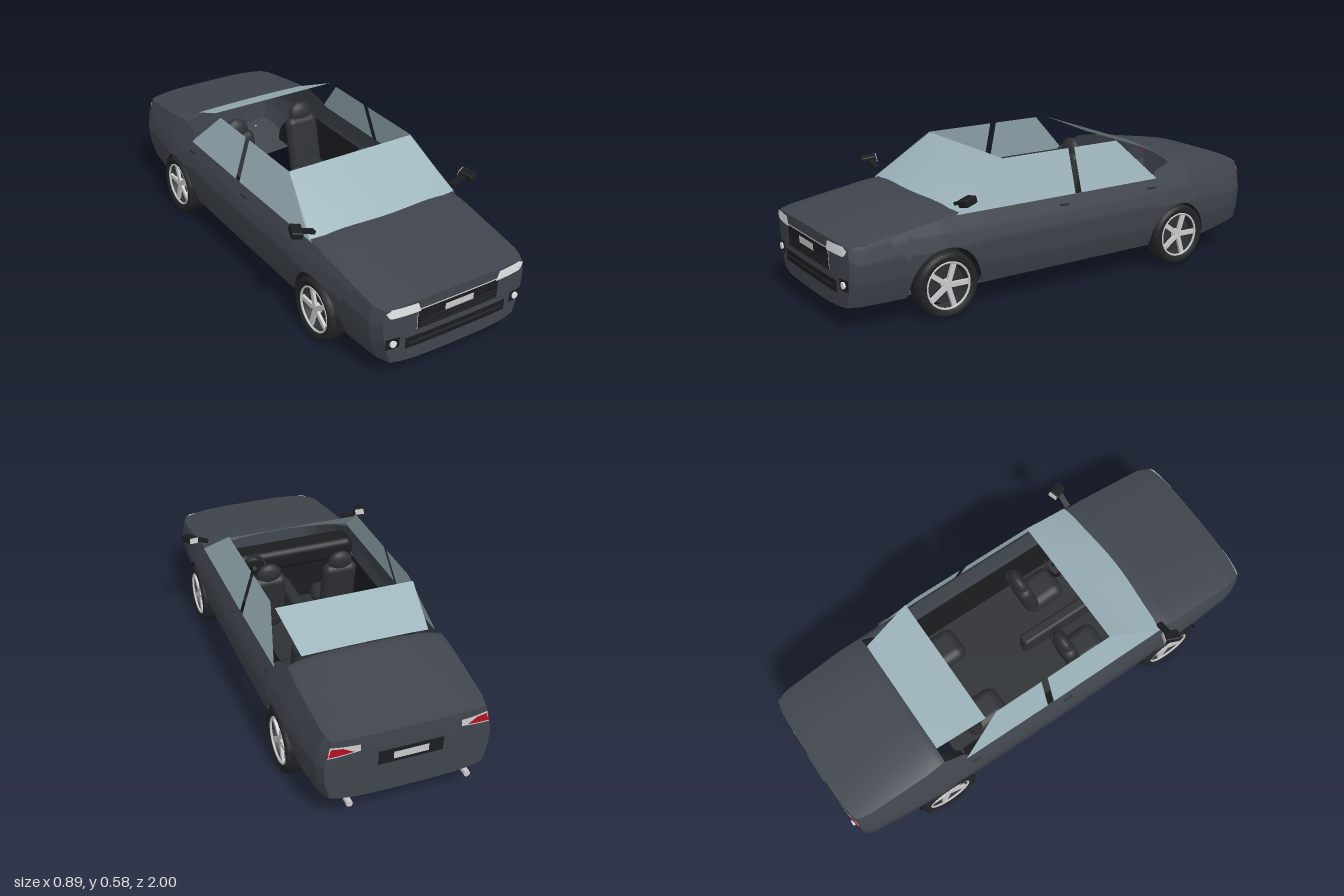
import * as THREE from 'three';
import { ParametricGeometry } from 'three/addons/geometries/ParametricGeometry.js';
import { RoundedBoxGeometry } from 'three/addons/geometries/RoundedBoxGeometry.js';

const mat = (color) => new THREE.MeshStandardMaterial({ color, side: THREE.DoubleSide });
const paint = mat(0x40454d), glass = mat(0x9db4bb), black = mat(0x1b1d20), rubber = mat(0x222426);
const trim = mat(0x2e3135), chrome = mat(0xcccccc), red = mat(0xb01020), white = mat(0xe6e8ea);

// Linear interpolation in a list of [position, value] pairs
const table = (pts) => (s) => {
  if (s <= pts[0][0]) return pts[0][1];
  for (let i = 1; i < pts.length; i++) {
    const [a, va] = pts[i - 1], [b, vb] = pts[i];
    if (s <= b) return va + (vb - va) * (s - a) / (b - a);
  }
  return pts[pts.length - 1][1];
};
const mix = THREE.MathUtils.lerp;

// Body rules: half width along z, section by height, upper and lower edge of the flank
const END = 0.975, WHEEL_Y = 0.137, AXLES = [{ z: 0.585, arch: 0.15 }, { z: -0.585, arch: 0.141 }];
const width = table([[-0.975, 0.335], [-0.93, 0.355], [-0.65, 0.382], [0, 0.385], [0.6, 0.38], [0.92, 0.355], [0.975, 0.33]]);
const section = table([[0.08, 0.87], [0.13, 0.92], [0.2, 0.975], [0.28, 1], [0.34, 0.965], [0.4, 0.905], [0.46, 0.84]]);
const topEdge = table([[-0.975, 0.40], [-0.56, 0.458], [-0.52, 0.445], [-0.48, 0.435], [-0.44, 0.4], [0.55, 0.4], [0.975, 0.337]]);
const baseEdge = table([[-0.975, 0.14], [-0.72, 0.088], [-0.45, 0.105], [0.45, 0.105], [0.975, 0.1]]);
const halfX = (z, y) => width(z) * section(y);
function lowEdge(z) {
  let y = baseEdge(z);
  for (const axle of AXLES) {
    const d = axle.arch ** 2 - (z - axle.z) ** 2;
    if (d > 0) y = Math.max(y, WHEEL_Y + Math.sqrt(d));
  }
  return y;
}
// Bowed end faces; dir is 1 for the nose and -1 for the tail
const faceZ = (x, y, dir) => {
  const t = Math.min(1, Math.abs(x) / halfX(END * dir, y));
  return dir * (END + 0.02 * (1 - t ** 4) * (0.4 + 0.6 * Math.min(1, y / 0.33)));
};

export function createModel() {
  const car = new THREE.Group();
  car.name = 'car';
  const add = (name, geo, material, pos = [0, 0, 0], rot = [0, 0, 0], parent = car) => {
    const m = new THREE.Mesh(geo, material);
    m.name = name;
    m.position.set(...pos);
    m.rotation.set(...rot);
    parent.add(m);
    return m;
  };
  const surface = (name, fn, nu, nv, material) =>
    add(name, new ParametricGeometry((u, v, t) => t.set(...fn(u, v)), nu, nv), material);
  const box = (name, size, material, pos, rot, parent) =>
    add(name, new THREE.BoxGeometry(...size), material, pos, rot, parent);
  const soft = (name, size, r, material, pos, rot, parent) =>
    add(name, new RoundedBoxGeometry(...size, 3, r), material, pos, rot, parent);
  // Four-cornered window whose lower edge may bow
  const pane = (name, [a, b, c, d], bow = [0, 0, 0]) =>
    surface(name, (u, v) => [0, 1, 2].map((i) =>
      mix(mix(a[i], b[i], u), mix(d[i], c[i], u), v) + bow[i] * (1 - (2 * u - 1) ** 2) * (1 - v)), 12, 4, glass);
  // Four-cornered patch lying on the nose or tail
  const patch = (name, [a, b, c, d], dir, off, material) =>
    surface(name, (u, v) => {
      const [x, y] = [0, 1].map((i) => mix(mix(a[i], b[i], u), mix(d[i], c[i], u), v));
      return [x, y, faceZ(x, y, dir) + dir * off];
    }, 12, 3, material);
  const rect = (x0, x1, y0, y1) => [[x0, y0], [x1, y0], [x1, y1], [x0, y1]];

  // Flanks with wheel arches
  for (const s of [1, -1]) {
    surface('bodySide', (u, v) => {
      const z = mix(END, -END, u), y = mix(lowEdge(z), topEdge(z), v);
      return [s * halfX(z, y), y, z];
    }, 160, 12, paint);
  }

  // Crowned bonnet and boot lid
  const deck = (name, z0, z1, c0, c1, bow) => surface(name, (u, v) => {
    const t = 2 * u - 1, arch = 1 - t ** 4;
    const z = mix(z0, z1, v), y = topEdge(z);
    const stretch = bow * arch * (1 - v) + Math.sign(z1) * 0.02 * arch * v;
    return [t * halfX(z, y), y + mix(c0, c1, v) * arch, z + stretch];
  }, 20, 14, paint);
  deck('bonnet', 0.5, END, 0.022, 0.015, 0.03);
  deck('bootLid', -0.555, -END, 0.03, 0.01, 0);

  // Nose and tail faces with their undersides
  for (const [name, dir] of [['nose', 1], ['tail', -1]]) {
    const z = END * dir;
    surface(name, (u, v) => {
      const t = 2 * u - 1, arch = 1 - t ** 4;
      const y = mix(baseEdge(z), topEdge(z), v);
      const x = t * halfX(z, y);
      return [x, y + arch * mix(-0.012, dir > 0 ? 0.015 : 0.01, v), faceZ(x, y, dir)];
    }, 24, 10, paint);
    surface(name + 'Underside', (u, v) => {
      const t = 2 * u - 1, arch = 1 - t ** 4;
      const zz = mix(z, dir > 0 ? 0.5 : -0.72, v), y = baseEdge(zz);
      const w = dir > 0 ? mix(halfX(zz, y), 0.28, v) : halfX(zz, y);
      return [t * w, y - 0.012 * arch, zz + dir * 0.013 * arch * (1 - v)];
    }, 16, 10, paint);
  }

  // Windscreen, rear window and side windows
  pane('windscreen', [[-0.35, 0.408, 0.515], [0.35, 0.408, 0.515], [0.296, 0.576, 0.275], [-0.296, 0.576, 0.275]], [0, 0.012, 0.03]);
  pane('rearWindow', [[-0.265, 0.487, -0.555], [0.265, 0.487, -0.555], [0.295, 0.58, -0.335], [-0.295, 0.58, -0.335]], [0, 0.004, 0]);
  for (const s of [1, -1]) {
    pane('frontSideWindow', [[s * 0.348, 0.4, 0.53], [s * 0.35, 0.4, -0.035], [s * 0.296, 0.58, -0.035], [s * 0.296, 0.58, 0.28]]);
    pane('rearSideWindow', [[s * 0.35, 0.4, -0.065], [s * 0.348, 0.4, -0.47], [s * 0.296, 0.58, -0.285], [s * 0.296, 0.58, -0.065]]);
  }

  // Grille, plate and lower intake
  patch('grilleFrame', rect(-0.188, 0.188, 0.222, 0.312), 1, 0.002, chrome);
  patch('grille', rect(-0.187, 0.187, 0.223, 0.308), 1, 0.004, black);
  for (const y of [0.232, 0.246, 0.26]) patch('grilleBar', rect(-0.175, 0.175, y, y + 0.004), 1, 0.006, trim);
  patch('frontPlate', rect(-0.066, 0.066, 0.267, 0.296), 1, 0.008, chrome);
  patch('lowerIntake', rect(-0.235, 0.235, 0.147, 0.196), 1, 0.003, black);
  patch('intakeBar', rect(-0.22, 0.22, 0.168, 0.176), 1, 0.005, trim);

  // Rear plate recess
  patch('plateRecess', rect(-0.13, 0.13, 0.262, 0.325), -1, 0.002, black);
  patch('rearPlate', rect(-0.07, 0.07, 0.278, 0.31), -1, 0.005, chrome);

  for (const s of [1, -1]) {
    // Lamps
    patch('headlight', [[s * 0.175, 0.303], [s * 0.295, 0.303], [s * 0.3, 0.343], [s * 0.19, 0.343]], 1, 0.005, white);
    patch('headlightCorner', [[s * 0.294, 0.303], [s * 0.306, 0.308], [s * 0.321, 0.33], [s * 0.298, 0.342]], 1, 0.006, white);
    patch('fogLightHousing', rect(s * 0.26, s * 0.318, 0.166, 0.213), 1, 0.003, black);
    add('fogLight', new THREE.CylinderGeometry(0.014, 0.014, 0.012, 12), white, [s * 0.288, 0.19, faceZ(0.288, 0.19, 1) + 0.004], [Math.PI / 2, 0, 0]);
    patch('tailLight', [[s * 0.2, 0.35], [s * 0.322, 0.33], [s * 0.312, 0.378], [s * 0.2, 0.378]], -1, 0.003, chrome);
    patch('tailLightRed', [[s * 0.225, 0.352], [s * 0.318, 0.337], [s * 0.309, 0.372], [s * 0.265, 0.372]], -1, 0.005, red);
    box('tailLightSide', [0.006, 0.04, 0.03], red, [s * 0.319, 0.355, -0.963], [0, s * 0.4, s * 0.3]);

    // Exhaust tip
    add('exhaust', new THREE.CylinderGeometry(0.013, 0.013, 0.06, 12), chrome, [s * 0.24, 0.112, -0.968], [Math.PI / 2, 0, 0]);

    // Door mirror on a slanted arm
    const mirror = new THREE.Group();
    mirror.name = 'doorMirror';
    mirror.position.set(s * 0.413, 0.468, 0.52);
    car.add(mirror);
    soft('mirrorHousing', [0.046, 0.03, 0.066], 0.006, black, [0, 0, 0], [0.15, s * 0.35, s * 0.08], mirror);
    box('mirrorArm', [0.075, 0.014, 0.025], black, [s * -0.045, -0.013, 0], [0, 0, s * 0.35], mirror);
    box('mirrorGlass', [0.04, 0.024, 0.003], chrome, [s * -0.011, 0.004, -0.032], [0.15, s * 0.35, s * 0.08], mirror);

    // Door handles
    for (const z of [0.03, -0.43]) box('doorHandle', [0.01, 0.007, 0.04], trim, [s * 0.366, 0.367, z]);

    // Inner door lining and rocker edge
    box('doorLining', [0.004, 0.26, 0.9], black, [s * 0.292, 0.225, 0]);
    box('rocker', [0.016, 0.004, 0.88], paint, [s * 0.334, 0.106, 0]);
  }

  // Wheels with open rims, and wheel wells
  const tyreProfile = [[0.096, -0.035], [0.115, -0.045], [0.128, -0.04], [0.134, -0.022], [0.134, 0.022], [0.128, 0.04], [0.115, 0.045], [0.096, 0.035]]
    .map(([r, y]) => new THREE.Vector2(r, y));
  for (const s of [1, -1]) for (const { z, arch } of AXLES) {
    const wheel = new THREE.Group();
    wheel.name = 'wheel';
    wheel.position.set(s * 0.34, 0.134, z);
    wheel.rotation.z = -s * Math.PI / 2;
    car.add(wheel);
    add('tyre', new THREE.LatheGeometry(tyreProfile, 24), rubber, [0, 0, 0], [0, 0, 0], wheel);
    add('rimBarrel', new THREE.CylinderGeometry(0.096, 0.096, 0.07, 24, 1, true), trim, [0, 0, 0], [0, 0, 0], wheel);
    add('brakeDisc', new THREE.CylinderGeometry(0.08, 0.08, 0.012, 20), trim, [0, 0, 0], [0, 0, 0], wheel);
    add('rim', new THREE.TorusGeometry(0.094, 0.005, 6, 30), chrome, [0, 0.034, 0], [Math.PI / 2, 0, 0], wheel);
    add('hub', new THREE.CylinderGeometry(0.018, 0.024, 0.02, 12), chrome, [0, 0.022, 0], [0, 0, 0], wheel);
    for (let i = 0; i < 5; i++) {
      const a = i * Math.PI * 2 / 5 + 0.3;
      box('spoke', [0.078, 0.012, 0.02], chrome, [Math.cos(a) * 0.055, 0.026, -Math.sin(a) * 0.055], [0, a, 0], wheel);
    }
    add('archLiner', new THREE.CylinderGeometry(arch, arch, 0.12, 20, 1, true, 0, Math.PI), black, [s * 0.31, WHEEL_Y, z], [0, 0, Math.PI / 2]);
    add('wellWall', new THREE.CircleGeometry(arch, 20, 0, Math.PI), black, [s * 0.25, WHEEL_Y, z], [0, Math.PI / 2, 0]);
  }

  // Cabin floor, dashboard, console and steering wheel
  box('floor', [0.58, 0.006, 0.92], trim, [0, 0.096, 0]);
  box('firewall', [0.58, 0.28, 0.012], black, [0, 0.24, 0.455]);
  soft('dashboard', [0.66, 0.1, 0.12], 0.03, black, [0, 0.35, 0.44]);
  soft('console', [0.055, 0.12, 0.4], 0.015, trim, [0, 0.16, 0.25]);
  add('steeringWheel', new THREE.TorusGeometry(0.052, 0.007, 8, 24), black, [0.17, 0.37, 0.33], [0.4, 0, 0]);
  add('steeringColumn', new THREE.CylinderGeometry(0.01, 0.01, 0.09, 8), black, [0.17, 0.35, 0.37], [Math.PI / 2 + 0.4, 0, 0]);

  // Four seats with rounded shells
  for (const s of [1, -1]) for (const z of [0.195, -0.33]) {
    const seat = new THREE.Group();
    seat.name = z > 0 ? 'frontSeat' : 'rearSeat';
    seat.position.set(s * 0.165, 0.1, z);
    car.add(seat);
    soft('cushion', [0.155, 0.09, 0.19], 0.044, trim, [0, 0.09, 0.06], [-0.1, 0, 0], seat);
    soft('backrest', [0.155, 0.27, 0.065], 0.032, trim, [0, 0.2, -0.03], [-0.2, 0, 0], seat);
    add('headrest', new THREE.SphereGeometry(1, 16, 10), trim, [0, 0.345, -0.058], [-0.15, 0, 0], seat).scale.set(0.055, 0.05, 0.028);
  }
  return car;
}
